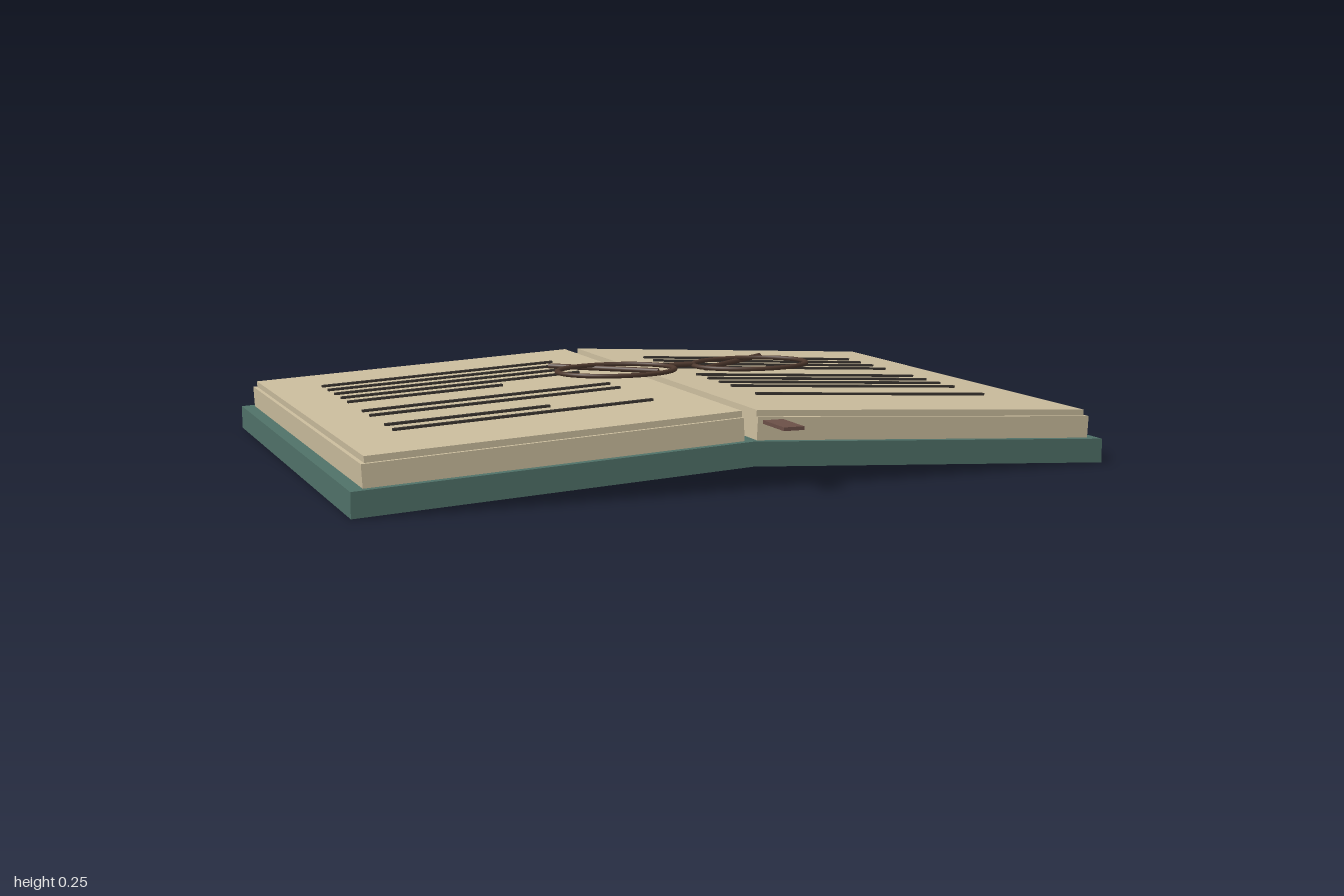
import * as THREE from 'three';

const mat = (name, color) => {
  const m = new THREE.MeshStandardMaterial({ color });
  m.name = name;
  return m;
};

export function createModel() {
  const book = new THREE.Group();
  book.name = 'openBookWithGlasses';
  const cover = mat('green cover', 0x4f7067);
  const paper = mat('aged paper', 0xc9bb9c);
  const ink = mat('dark ink', 0x3a3530);
  const ribbon = mat('brown ribbon', 0x6b4f47);
  const frame = mat('dark brown frame', 0x4d382d);

  const add = (parent, name, geometry, material, x = 0, y = 0, z = 0) => {
    const m = new THREE.Mesh(geometry, material);
    m.name = name;
    m.position.set(x, y, z);
    parent.add(m);
    return m;
  };
  // Box given by its limits on each axis
  const span = (parent, name, material, [x0, x1], [y0, y1], [z0, z1]) =>
    add(parent, name, new THREE.BoxGeometry(x1 - x0, y1 - y0, z1 - z0), material,
      (x0 + x1) / 2, (y0 + y1) / 2, (z0 + z1) / 2);

  // Cover: shallow ridge running along the spine
  const profile = new THREE.Shape([
    [-1, 0], [0, 0.055], [1, 0], [1, 0.063], [0, 0.117], [-1, 0.063],
  ].map(([x, y]) => new THREE.Vector2(x, y)));
  add(book, 'cover', new THREE.ExtrudeGeometry(profile, { depth: 1.4, bevelEnabled: false }),
    cover, 0, 0, -0.75);

  // Text lines: z positions, the second list holds the short lines
  const text = {
    '-1': [[-0.47, -0.39, -0.31, -0.23, 0.02, 0.1, 0.34], [-0.15, 0.26]],
    '1': [[-0.47, -0.39, -0.31, -0.23, -0.06, 0.02, 0.1, 0.18, 0.34], []],
  };

  // Page blocks, each tilted with its half of the cover
  for (const s of [-1, 1]) {
    const half = new THREE.Group();
    half.name = s < 0 ? 'rightPages' : 'leftPages';
    half.position.y = 0.115;
    half.rotation.z = -s * 0.055;
    book.add(half);
    const side = (a, b) => (s < 0 ? [-b, -a] : [a, b]);
    span(half, 'pageBlock', paper, side(0.016, 0.968), [0, 0.06], [-0.725, 0.63]);
    span(half, 'topSheets', paper, side(0.016, 0.958), [0.06, 0.076], [-0.715, 0.62]);
    const [full, short] = text[s];
    full.forEach((z) => span(half, 'textLine', ink, side(0.14, 0.82), [0.075, 0.082], [z - 0.006, z + 0.006]));
    short.forEach((z) => span(half, 'shortTextLine', ink, side(0.39, 0.82), [0.075, 0.082], [z - 0.006, z + 0.006]));
  }

  // Bookmark emerging from between the pages
  span(book, 'bookmark', ribbon, [0.033, 0.087], [0.156, 0.165], [0.3, 0.75]);

  // Glasses
  const glasses = new THREE.Group();
  glasses.name = 'glasses';
  book.add(glasses);
  const rod = (name, a, b, r) => {
    const path = new THREE.LineCurve3(new THREE.Vector3(...a), new THREE.Vector3(...b));
    const mid = path.getPoint(0.5);
    const m = add(glasses, name, new THREE.CylinderGeometry(r, r, path.getLength(), 10), frame, mid.x, mid.y, mid.z);
    m.quaternion.setFromUnitVectors(new THREE.Vector3(0, 1, 0), path.getTangent(0));
  };
  for (const x of [-0.178, 0.203]) {
    const rim = new THREE.TorusGeometry(0.158, 0.008, 10, 48);
    rim.rotateX(Math.PI / 2);
    rim.scale(1, 0.75, 0.74);
    add(glasses, 'rim', rim, frame, x, 0.242, 0.164);
  }
  rod('bridge', [-0.022, 0.246, 0.152], [0.047, 0.246, 0.152], 0.007);
  rod('rightTemple', [-0.297, 0.234, -0.038], [-0.06, 0.234, 0.166], 0.007);
  rod('leftTemple', [0.322, 0.234, -0.035], [0.077, 0.234, 0.16], 0.007);

  return book;
}
